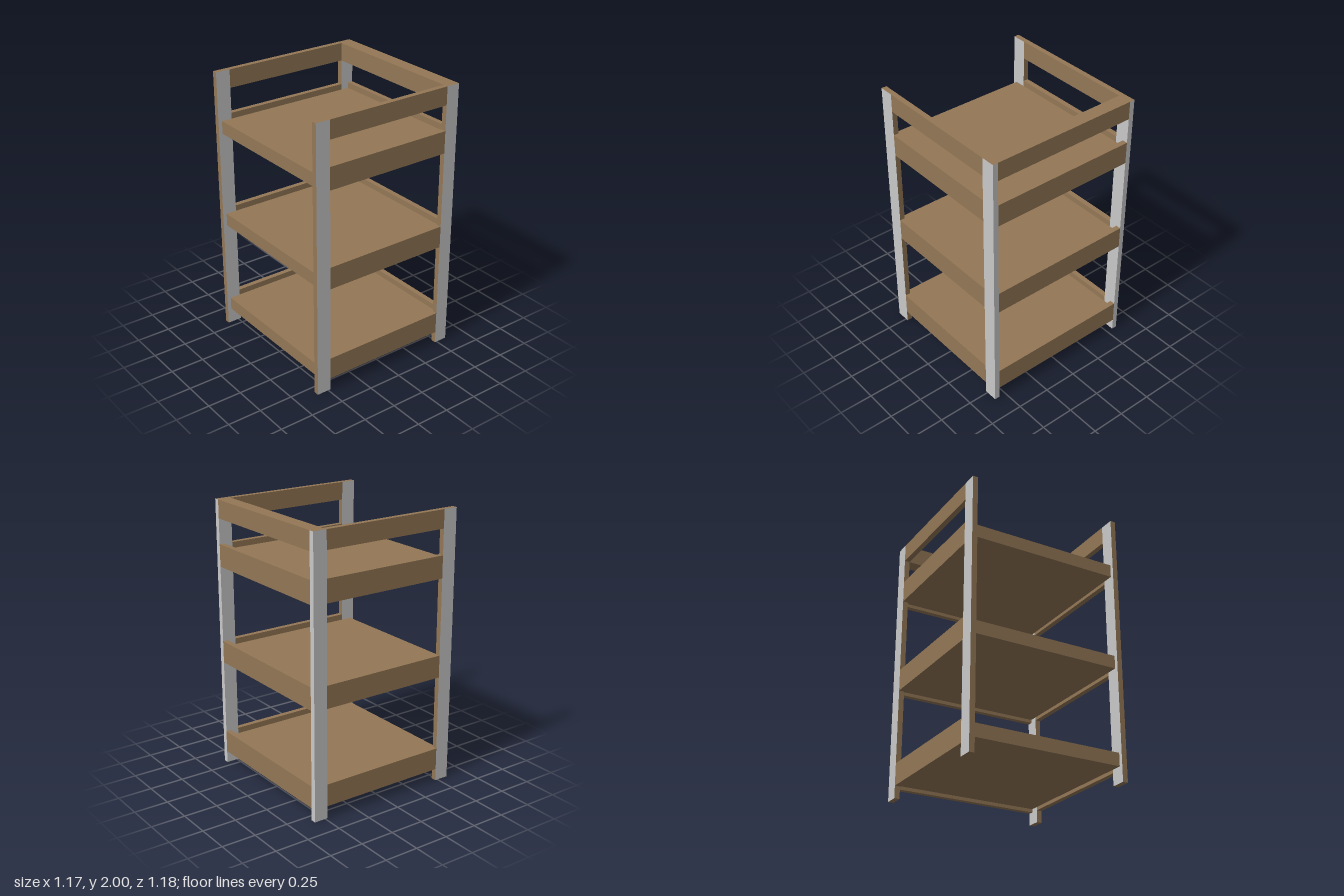
import * as THREE from 'three';

export function createModel() {
  const group = new THREE.Group();
  const wood = new THREE.MeshStandardMaterial({ color: 0x937755 });
  wood.name = 'brown wood';
  const paint = new THREE.MeshStandardMaterial({ color: 0xc9c9c9 });
  paint.name = 'light grey paint';

  // Box given by its limits along each axis
  function board(name, [x0, x1], [y0, y1], [z0, z1], material = wood) {
    const mesh = new THREE.Mesh(new THREE.BoxGeometry(x1 - x0, y1 - y0, z1 - z0), material);
    mesh.position.set((x0 + x1) / 2, (y0 + y1) / 2, (z0 + z1) / 2);
    mesh.name = name;
    group.add(mesh);
  }

  const outer = 0.592, inner = 0.553;
  const legL = [0.483, 0.585], legR = [-0.588, -0.48];
  const sides = [['front', [inner, outer]], ['back', [-outer, -inner]]];

  // Legs: painted faces, bare wood on the ends and inner edges
  for (const [side, z] of sides) {
    board(side + 'LeftLeg', legL, [0, 2], z, [paint, wood, wood, wood, paint, paint]);
    board(side + 'RightLeg', legR, [0, 2], z, [wood, wood, wood, wood, paint, paint]);
  }

  // Three shelves, each with a raised rim on three sides
  for (const [level, y] of [['bottom', 0.09], ['middle', 0.8], ['top', 1.52]]) {
    const height = [y, y + 0.163];
    board(level + 'Shelf', [-0.56, 0.546], [y + 0.025, y + 0.12], [-inner, inner]);
    board(level + 'ShelfSideRail', [0.546, 0.585], height, [-inner, inner]);
    for (const [side, z] of sides) {
      board(level + 'Shelf' + side + 'Rail', [legR[1], legL[0]], height, z);
    }
  }

  // Guard rails around the top, open on one side
  board('sideGuardRail', legL, [1.867, 2], [-inner, inner]);
  for (const [side, z] of sides) {
    board(side + 'GuardRail', [legR[1], legL[0]], [1.867, 2], z);
  }

  return group;
}
